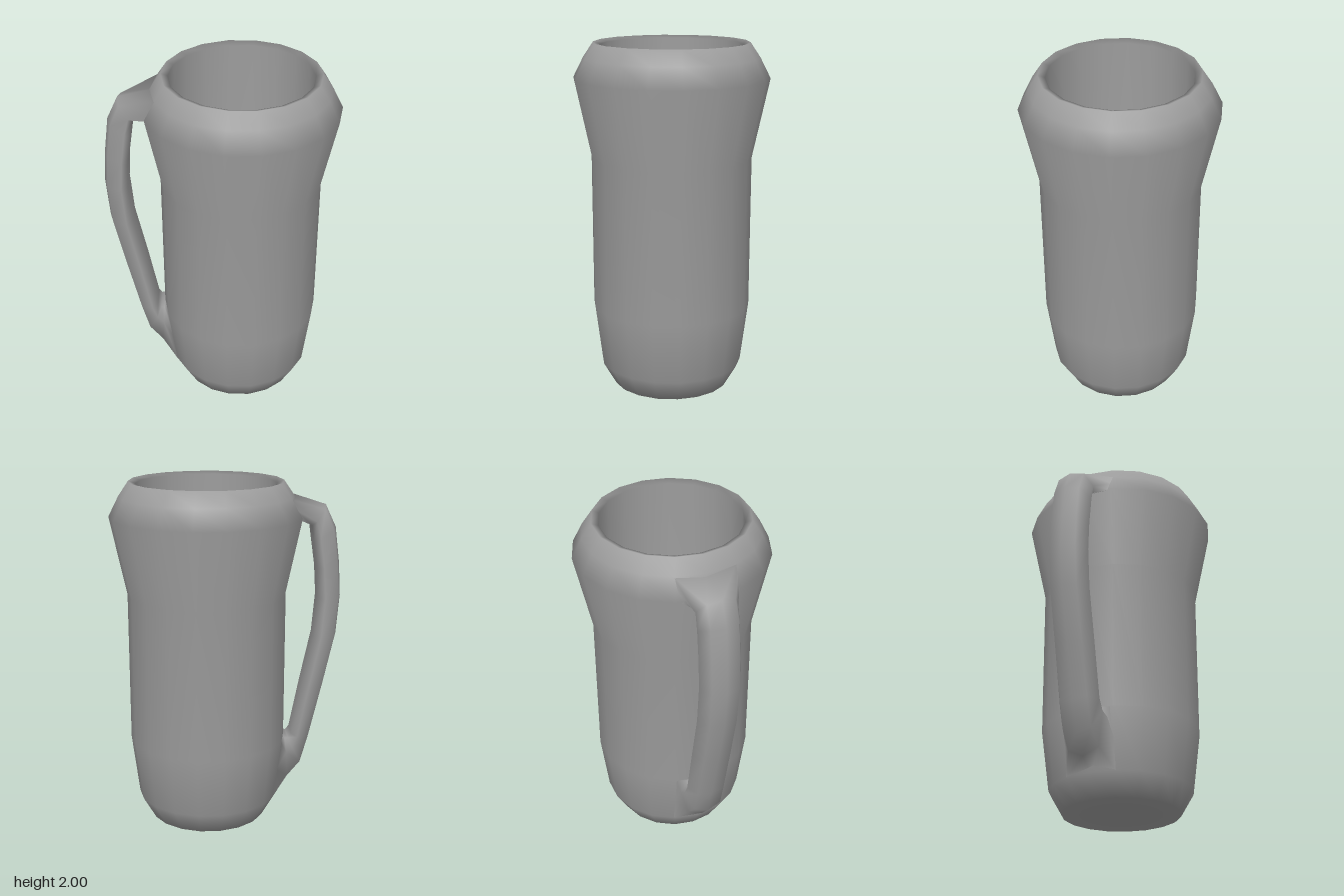
import * as THREE from 'three';

const SIDES = 18;
const AXIS_X = 0.11; // the cup sits off-centre to balance the handle

// Cup wall: underside, outside, rim, then down the inside to the floor
function makeCup() {
  const profile = [
    [0, 0], [0.335, 0], [0.41, 0.13], [0.455, 0.48], [0.458, 1.35],
    [0.555, 1.8], [0.497, 1.915], [0.44, 2], [0.4, 1.985],
    [0.4, 0.5], [0.28, 0.1], [0, 0.06],
  ].map(([r, y]) => new THREE.Vector2(r, y));
  const cup = new THREE.LatheGeometry(profile, SIDES, Math.PI / 2);
  cup.translate(AXIS_X, 0, 0);
  return cup;
}

// Handle: a rounded section swept between an outer and an inner edge,
// widening into a square joint where it meets the cup
function makeHandle() {
  // outer x, outer y, inner x, inner y, half width
  const stations = [
    [-0.347, 1.915, -0.397, 1.8, 0.178],
    [-0.57, 1.86, -0.485, 1.75, 0.12],
    [-0.63, 1.73, -0.497, 1.66, 0.12],
    [-0.655, 1.52, -0.52, 1.5, 0.12],
    [-0.665, 1.33, -0.53, 1.33, 0.12],
    [-0.645, 1.1, -0.51, 1.1, 0.12],
    [-0.575, 0.79, -0.445, 0.8, 0.12],
    [-0.5, 0.48, -0.385, 0.5, 0.12],
    [-0.45, 0.3, -0.365, 0.475, 0.125],
    [-0.365, 0.2, -0.345, 0.475, 0.135],
    [-0.272, 0.13, -0.315, 0.475, 0.148],
  ];
  // depth from outer to inner edge, share of the half width
  const grip = [[0, 0], [0.15, 0.67], [0.75, 1], [1, 0.6], [1, -0.6], [0.75, -1], [0.15, -0.67]];
  const joint = [[0, 0], [0, 1], [0.5, 1], [1, 1], [1, -1], [0.5, -1], [0, -1]];
  const n = grip.length, last = stations.length - 1;
  const positions = [], index = [];
  stations.forEach(([ox, oy, ix, iy, w], i) => {
    const section = i === 0 || i === last ? joint : grip;
    section.forEach(([t, s], j) => {
      positions.push(ox + (ix - ox) * t, oy + (iy - oy) * t, w * s);
      if (i === last) return;
      const a = i * n + j, b = i * n + (j + 1) % n;
      index.push(a, a + n, b, b, a + n, b + n);
    });
  });
  const geometry = new THREE.BufferGeometry();
  geometry.setAttribute('position', new THREE.Float32BufferAttribute(positions, 3));
  geometry.setIndex(index);
  geometry.computeVertexNormals();

  // Both ends take the cup's normals so the joints blend smoothly
  const { position, normal } = geometry.attributes;
  const v = new THREE.Vector3();
  for (const [ring, tilt] of [[0, 0.3], [last, -0.15]]) {
    for (let k = ring * n; k < (ring + 1) * n; k++) {
      v.set(position.getX(k) - AXIS_X, 0, position.getZ(k)).normalize().setY(tilt).normalize();
      normal.setXYZ(k, v.x, v.y, v.z);
    }
  }
  return geometry;
}

export function createModel() {
  const group = new THREE.Group();
  group.name = 'mug';
  const material = new THREE.MeshStandardMaterial({ color: 0x9b9b9b });
  const cup = new THREE.Mesh(makeCup(), material);
  cup.name = 'cup';
  const handle = new THREE.Mesh(makeHandle(), material);
  handle.name = 'handle';
  group.add(cup, handle);
  return group;
}
